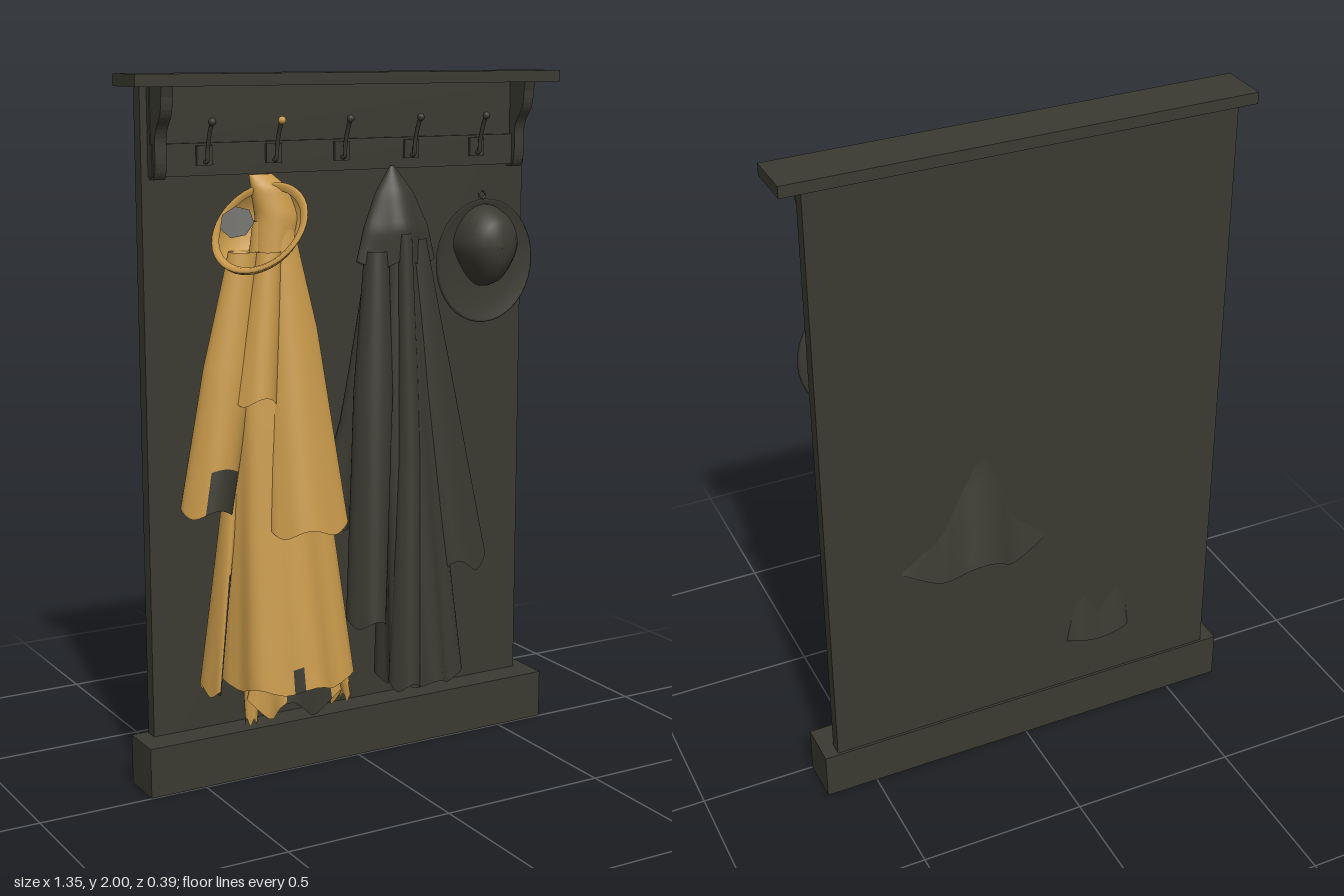
import * as THREE from 'three';

const dark = new THREE.MeshStandardMaterial({ color: 0x3b3a31, side: THREE.DoubleSide });
dark.name = 'dark wood and cloth';
const yellow = new THREE.MeshStandardMaterial({ color: 0xc8994b, side: THREE.DoubleSide });
yellow.name = 'mustard cloth';

function add(parent, name, geometry, material, x = 0, y = 0, z = 0) {
  const mesh = new THREE.Mesh(geometry, material);
  mesh.name = name;
  mesh.position.set(x, y, z);
  parent.add(mesh);
  return mesh;
}

// Box given by its limits on each axis
function slab(parent, name, [x0, x1], [y0, y1], [z0, z1]) {
  return add(parent, name, new THREE.BoxGeometry(x1 - x0, y1 - y0, z1 - z0), dark,
    (x0 + x1) / 2, (y0 + y1) / 2, (z0 + z1) / 2);
}

// Draped open tube; rings run downward as [centreX, y, centreZ, radiusX, radiusZ].
// Folds deepen toward the hem; patch(t, angle) picks faces in the second colour.
function drape(parent, name, rings, material, { folds = 5, depth = 0.08, phase = 0, sag = 0.012, patch } = {}) {
  const rows = 20, cols = 40, positions = [], base = [], spots = [];
  for (let i = 0; i <= rows; i++) {
    const t = i / rows, f = t * (rings.length - 1);
    const k = Math.min(Math.floor(f), rings.length - 2);
    const [cx, y, cz, rx, rz] = rings[k].map((v, n) => v + (rings[k + 1][n] - v) * (f - k));
    for (let j = 0; j < cols; j++) {
      const a = (j / cols) * Math.PI * 2;
      const wave = Math.cos(folds * a + phase);
      const s = 1 + depth * t * (wave - 0.5);
      positions.push(cx + rx * s * Math.sin(a), y + sag * t * t * wave, cz + rz * s * Math.cos(a));
    }
  }
  for (let i = 0; i < rows; i++) {
    for (let j = 0; j < cols; j++) {
      const a = i * cols + j, b = i * cols + (j + 1) % cols;
      const angle = ((j + 0.5) / cols) * Math.PI * 2;
      const list = patch && patch((i + 0.5) / rows, angle > Math.PI ? angle - Math.PI * 2 : angle) ? spots : base;
      list.push(a, a + cols, b + cols, a, b + cols, b);
    }
  }
  const g = new THREE.BufferGeometry();
  g.setAttribute('position', new THREE.Float32BufferAttribute(positions, 3));
  g.setIndex([...base, ...spots]);
  g.addGroup(0, base.length, 0);
  g.addGroup(base.length, spots.length, 1);
  g.computeVertexNormals();
  return add(parent, name, g, [material, dark]);
}

function buildRack() {
  const rack = new THREE.Group();
  rack.name = 'rack';
  slab(rack, 'backPanel', [-0.62, 0.615], [0.02, 1.97], [-0.127, -0.087]);
  slab(rack, 'topShelf', [-0.675, 0.675], [1.967, 2], [-0.135, 0.013]);
  slab(rack, 'basePlinth', [-0.668, 0.657], [0, 0.145], [-0.135, -0.002]);
  slab(rack, 'upperBoard', [-0.6, 0.6], [1.815, 1.967], [-0.09, -0.072]);
  slab(rack, 'hookRail', [-0.6, 0.6], [1.727, 1.815], [-0.09, -0.06]);

  // Curved shelf brackets
  const s = new THREE.Shape();
  s.moveTo(-0.09, 1.967);
  s.lineTo(-0.09, 1.72);
  s.lineTo(-0.06, 1.72);
  s.bezierCurveTo(-0.035, 1.75, -0.05, 1.8, -0.045, 1.83);
  s.bezierCurveTo(-0.035, 1.88, 0.0, 1.87, 0, 1.94);
  s.lineTo(0.006, 1.967);
  for (const x of [-0.58, 0.575]) {
    const g = new THREE.ExtrudeGeometry(s, { depth: 0.034, bevelEnabled: false, curveSegments: 10 });
    g.rotateY(-Math.PI / 2);
    add(rack, 'shelfBracket', g, dark, x + 0.017);
  }

  // Coat hooks with square plates
  const path = new THREE.CatmullRomCurve3([[1.765, -0.055], [1.765, -0.04], [1.8, -0.035], [1.845, -0.02],
    [1.872, -0.005]].map(([y, z]) => new THREE.Vector3(0, y, z)));
  [-0.447, -0.237, -0.022, 0.207, 0.43].forEach((x, i) => {
    const hook = new THREE.Group();
    hook.name = 'coatHook';
    hook.position.x = x;
    slab(hook, 'hookPlate', [-0.024, 0.024], [1.755, 1.808], [-0.062, -0.052]);
    add(hook, 'hookArm', new THREE.TubeGeometry(path, 14, 0.006, 8), dark);
    add(hook, 'hookKnob', new THREE.SphereGeometry(0.011, 12, 8), i === 1 ? yellow : dark, 0, 1.873, -0.004);
    rack.add(hook);
  });
  return rack;
}

function buildYellowCoat() {
  const coat = new THREE.Group();
  coat.name = 'yellowCoat';
  drape(coat, 'coatBody', [[-0.265, 1.6, -0.03, 0.05, 0.03], [-0.265, 1.2, -0.01, 0.115, 0.07],
    [-0.255, 0.75, 0.01, 0.155, 0.105], [-0.245, 0.3, 0.017, 0.192, 0.172]], yellow,
  { folds: 7, depth: 0.07, patch: (t, a) => t > 0.7 && Math.abs(a) > 1.9 || t > 0.95 && Math.abs(a + 0.25) < 0.1 });
  drape(coat, 'rightSleeve', [[-0.245, 1.61, -0.01, 0.035, 0.03], [-0.225, 1.3, 0.02, 0.075, 0.05],
    [-0.215, 0.745, 0.095, 0.117, 0.07]], yellow, { folds: 4, depth: 0.05, phase: 1 });
  drape(coat, 'leftSleeve', [[-0.35, 1.52, -0.02, 0.045, 0.035], [-0.405, 1.2, -0.01, 0.075, 0.05],
    [-0.48, 0.81, 0, 0.076, 0.065]], yellow,
  { folds: 3, depth: 0.06, patch: (t, a) => t > 0.86 && a > -0.5 && a < 0.9 });
  drape(coat, 'frontLapel', [[-0.29, 1.52, 0.01, 0.035, 0.035], [-0.345, 1.115, 0.035, 0.068, 0.055]], yellow,
    { folds: 3, depth: 0.08 });
  drape(coat, 'sideTail', [[-0.4, 0.85, -0.02, 0.02, 0.03], [-0.472, 0.28, -0.02, 0.018, 0.06]], yellow,
    { folds: 3, depth: 0.1, patch: (t, a) => t > 0.4 && a > 0 });
  drape(coat, 'innerHem', [[-0.22, 0.4, 0.02, 0.11, 0.07], [-0.22, 0.215, 0.02, 0.145, 0.08]], yellow,
    { folds: 5, depth: 0.15, sag: 0.03, phase: 2, patch: (t, a) => a > -0.4 && a < 0.7 });
  drape(coat, 'hemTatter', [[-0.085, 0.34, 0.04, 0.02, 0.02], [-0.068, 0.21, 0.04, 0.012, 0.03]], yellow);
  drape(coat, 'hemTatter', [[-0.345, 0.32, -0.02, 0.025, 0.02], [-0.345, 0.165, -0.02, 0.018, 0.02]], yellow);

  // Hood: peaked back and an open bowl facing up and forward
  drape(coat, 'hoodBack', [[-0.29, 1.728, -0.035, 0.035, 0.012], [-0.265, 1.69, -0.03, 0.055, 0.035],
    [-0.245, 1.61, -0.025, 0.063, 0.05], [-0.265, 1.5, -0.02, 0.055, 0.05]], yellow, { depth: 0 });
  const profile = [[0.001, -1], [0.4, -0.93], [0.75, -0.7], [0.95, -0.35], [1.02, -0.05], [1, 0], [0.93, 0.01], [0.86, -0.12]];
  const bowl = new THREE.LatheGeometry(profile.map(([r, y]) => new THREE.Vector2(r, y)), 40);
  const hood = add(coat, 'hoodBowl', bowl, yellow, -0.328, 1.592, 0.035);
  hood.scale.set(0.15, 0.11, 0.108);
  hood.rotation.set(0.87, 0, 0.7, 'ZXY');
  const lining = add(coat, 'hoodLining', new THREE.CircleGeometry(0.05, 7).rotateX(-Math.PI / 2), dark, -0.39, 1.605, 0.02);
  lining.scale.set(1, 1, 0.9);
  lining.rotation.copy(hood.rotation);
  return coat;
}

function buildDarkCoat() {
  const coat = new THREE.Group();
  coat.name = 'darkCoat';
  drape(coat, 'hood', [[0.13, 1.738, -0.035, 0.006, 0.005], [0.135, 1.66, -0.03, 0.06, 0.04],
    [0.135, 1.56, -0.02, 0.1, 0.06], [0.135, 1.46, -0.02, 0.122, 0.055]], dark, { folds: 4, depth: 0.14 });
  drape(coat, 'coatBody', [[0.135, 1.6, 0, 0.03, 0.03], [0.15, 1.2, 0, 0.075, 0.055],
    [0.175, 0.7, 0.01, 0.1, 0.08], [0.195, 0.225, 0.02, 0.13, 0.11]], dark, { folds: 6, depth: 0.12 });
  drape(coat, 'frontFold', [[0.135, 1.55, 0.03, 0.02, 0.02], [0.14, 0.9, 0.055, 0.036, 0.03],
    [0.115, 0.225, 0.08, 0.05, 0.045]], dark, { folds: 3, depth: 0.08 });
  drape(coat, 'rightSleeve', [[0.065, 1.5, -0.01, 0.035, 0.035], [0.04, 1.1, 0.02, 0.06, 0.05],
    [-0.015, 0.44, 0.08, 0.06, 0.06]], dark, { folds: 3, depth: 0.08 });
  drape(coat, 'leftSleeve', [[0.19, 1.53, -0.01, 0.035, 0.035], [0.24, 1.1, 0, 0.075, 0.05],
    [0.32, 0.555, 0.02, 0.1, 0.062]], dark, { folds: 4, depth: 0.06, phase: 1, sag: 0.02 });
  drape(coat, 'backCape', [[0.13, 1.45, -0.045, 0.08, 0.035], [0.14, 1, -0.05, 0.16, 0.08],
    [0.165, 0.71, -0.075, 0.245, 0.115]], dark, { folds: 5, depth: 0.14, phase: Math.PI, sag: 0.03 });
  return coat;
}

function buildHat() {
  const hat = new THREE.Group();
  hat.name = 'hat';
  const turned = (points) => new THREE.LatheGeometry(points.map(([r, y]) => new THREE.Vector2(r, y)), 40).rotateX(Math.PI / 2);
  // Shallow brim hung flat against the panel
  add(hat, 'brim', turned([[0.001, -0.02], [0.12, -0.016], [0.165, 0.004], [0.17, 0.01], [0.163, 0.016],
    [0.12, -0.004], [0.001, -0.004]]), dark, 0.46, 1.445, -0.06).scale.set(1, 1.08, 1);
  // Crown, narrowed toward its lower end
  const crown = turned([[0.098, 0], [0.096, 0.03], [0.085, 0.07], [0.06, 0.1], [0.03, 0.112], [0.001, 0.115]]);
  const p = crown.attributes.position;
  for (let i = 0; i < p.count; i++) {
    const y = p.getY(i);
    p.setXYZ(i, p.getX(i) * (y < 0 ? 1 + y * 3.5 : 1), y * 1.25, p.getZ(i));
  }
  crown.computeVertexNormals();
  add(hat, 'crown', crown, dark, 0.457, 1.492, -0.066);
  add(hat, 'hangingLoop', new THREE.TorusGeometry(0.011, 0.003, 6, 16), dark, 0.455, 1.64, -0.06);
  return hat;
}

export function createModel() {
  const model = new THREE.Group();
  model.name = 'coatRack';
  model.add(buildRack(), buildYellowCoat(), buildDarkCoat(), buildHat());
  return model;
}
